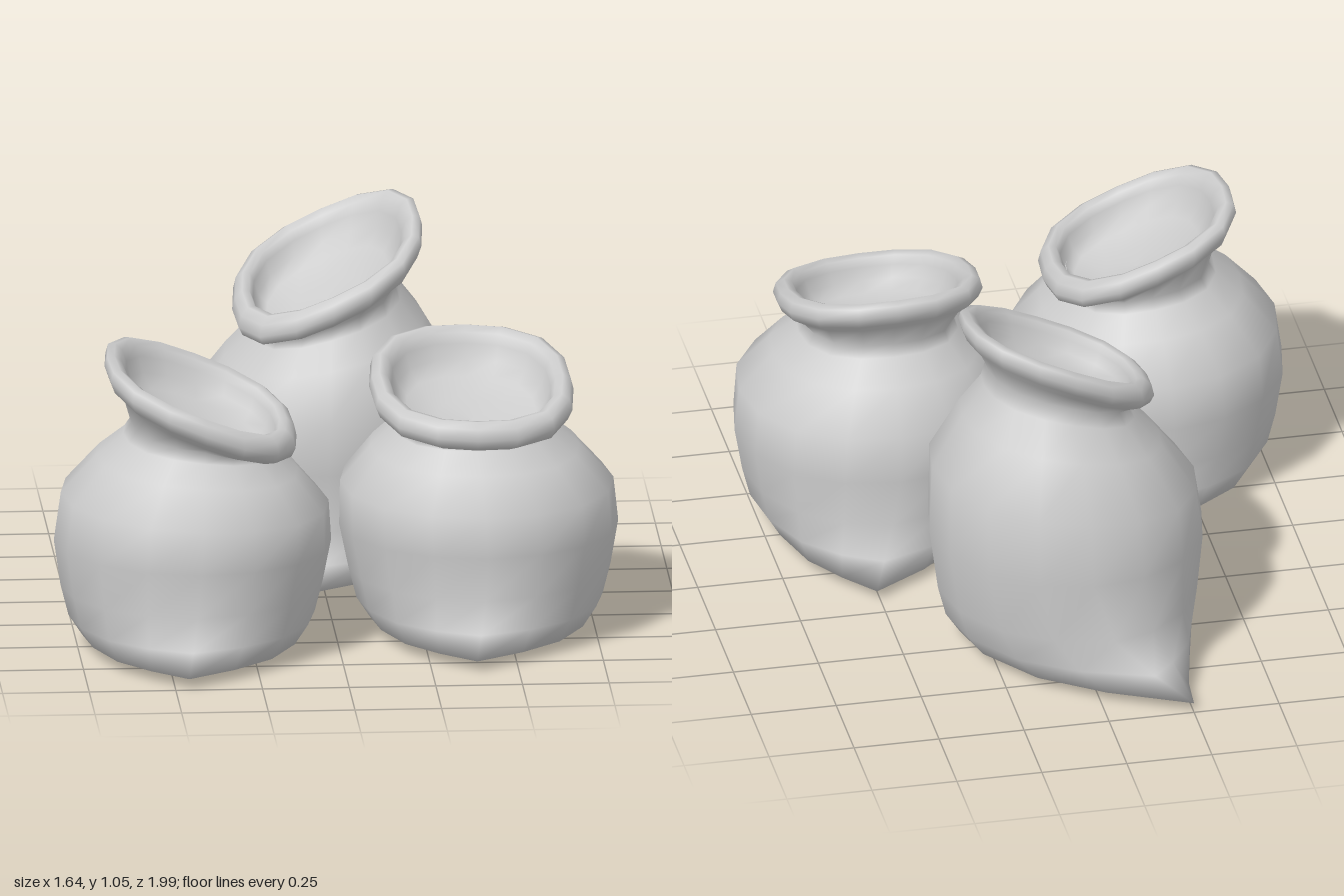
import * as THREE from 'three';

const SIDES = 16;
const LOW = 0.18; // height below which all sacks share the same base

// Body rings from the base up: [radius, height, corner pull, share of mouth tilt]
const BODY = [
  [0, 0.004, 0, 0], [0.23, 0, 0.45, 0], [0.315, 0.03, 1, 0], [0.355, 0.09, 0.62, 0],
  [0.378, 0.18, 0.22, 0], [0.403, 0.31, 0, 0.1], [0.396, 0.44, 0, 0.35],
  [0.303, 0.545, 0, 0.6], [0.232, 0.605, 0, 0.85], [0.215, 0.635, 0, 1],
];

// Rolled rim and shallow inner bowl: [radius, height from the middle of the rim]
const MOUTH = [
  [0.245, -0.055], [0.285, -0.03], [0.298, 0], [0.29, 0.03], [0.267, 0.042],
  [0.244, 0.032], [0.232, 0.005], [0.218, -0.035], [0.19, -0.07],
  [0.1, -0.092], [0, -0.098],
];

// How strongly a point follows the corner, by its steps away from it
const CORNER = [1, 0.57, 0.28, 0.06, 0];

function sackGeometry({ stretch, front, back, mouth, tilt, neckTilt }) {
  const positions = [], index = [];
  const rings = [
    ...BODY.map(([r, y, pull, f]) =>
      ({ r, y: y < LOW ? y : LOW + (y - LOW) * stretch, pull, f, lean: f * neckTilt })),
    ...MOUTH.map(([r, dy]) => ({ r, y: mouth.y + dy, pull: 0, f: 1, lean: 1 })),
  ];

  rings.forEach(({ r, y, pull, f, lean }) => {
    for (let i = 0; i < SIDES; i++) {
      const a = (i / SIDES) * Math.PI * 2;
      // the mouth is slightly squared
      const rr = r * (1 + 0.04 * f * (1 - Math.cos(4 * a)));
      let x = rr * Math.sin(a), z = rr * Math.cos(a);
      // draw the base out into a pointed corner at the front and the back
      const near = Math.min(i, SIDES - i);
      const w = pull * CORNER[Math.min(near, SIDES / 2 - near)];
      const tip = near < SIDES / 4 ? front : back;
      x += tip[0] * w;
      z += (tip[1] - z) * w;
      // oval, shifted and tilted towards the mouth
      x *= 1 + (mouth.sx - 1) * f;
      z *= 1 + (mouth.sz - 1) * f;
      const h = y + lean * (tilt[0] * x + tilt[1] * z);
      positions.push(x + mouth.x * f, h, z + mouth.z * f);
    }
  });

  for (let j = 0; j < rings.length - 1; j++) {
    for (let i = 0; i < SIDES; i++) {
      const n = (i + 1) % SIDES;
      const a = j * SIDES + i, b = j * SIDES + n;
      index.push(a, b, b + SIDES, a, b + SIDES, a + SIDES);
    }
  }

  const g = new THREE.BufferGeometry();
  g.setAttribute('position', new THREE.Float32BufferAttribute(positions, 3));
  g.setIndex(index);
  g.computeVertexNormals();
  return g;
}

export function createModel() {
  const group = new THREE.Group();
  group.name = 'sacks';
  const material = new THREE.MeshStandardMaterial({ color: 0xcccccc, side: THREE.DoubleSide });

  const sacks = [
    { // mouth sloping down to the left
      name: 'rightSack', at: [-0.42, 0.48], stretch: 1,
      front: [-0.04, 0.51], back: [0.09, -0.44],
      mouth: { x: 0.025, y: 0.725, z: 0.01, sx: 0.93, sz: 1.01 },
      tilt: [-0.39, -0.1], neckTilt: 0.35,
    },
    { // mouth sloping down to the front
      name: 'leftSack', at: [0.42, 0.34], stretch: 1,
      front: [-0.04, 0.51], back: [0.09, -0.52],
      mouth: { x: -0.025, y: 0.715, z: 0.02, sx: 0.99, sz: 1.01 },
      tilt: [-0.03, -0.27], neckTilt: 0.35,
    },
    { // tall sack, mouth sloping down to the right
      name: 'tallBackSack', at: [0.01, -0.45], stretch: 1.34,
      front: [-0.05, 0.51], back: [-0.26, -0.55],
      mouth: { x: 0.02, y: 0.875, z: 0.05, sx: 0.92, sz: 1.02 },
      tilt: [0.44, -0.22], neckTilt: 0.75,
    },
  ];

  for (const s of sacks) {
    const mesh = new THREE.Mesh(sackGeometry(s), material);
    mesh.name = s.name;
    mesh.position.set(s.at[0], 0, s.at[1]);
    group.add(mesh);
  }
  return group;
}
